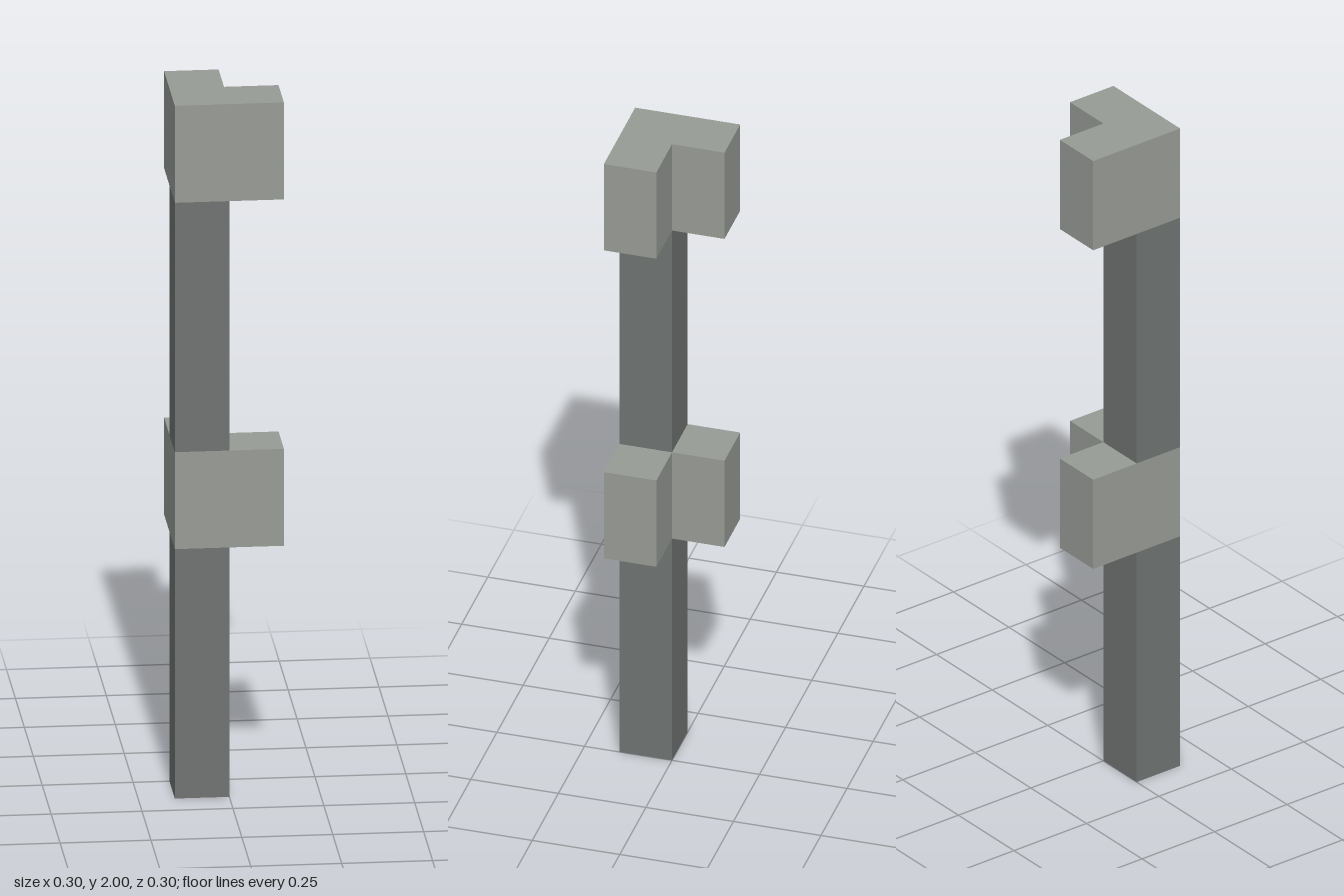
import * as THREE from 'three';

export function createModel() {
  const model = new THREE.Group();
  model.name = 'cornerPost';

  const lightStone = new THREE.MeshStandardMaterial({ color: 0x979b95 });
  lightStone.name = 'lightStone';
  const darkStone = new THREE.MeshStandardMaterial({ color: 0x6f7371 });
  darkStone.name = 'darkStone';

  const half = 0.15;      // half the footprint, also the post thickness
  const blockHeight = 0.28;
  const shaftHeight = 0.72;

  // L-shaped corner block, extruded upwards (shape y becomes -z)
  const outline = new THREE.Shape([
    [-half, -half], [half, -half], [half, 0],
    [0, 0], [0, half], [-half, half],
  ].map(([x, y]) => new THREE.Vector2(x, y)));
  const blockGeometry = new THREE.ExtrudeGeometry(outline, { depth: blockHeight, bevelEnabled: false });
  blockGeometry.rotateX(-Math.PI / 2);

  // Square shaft standing in the outer corner of the block
  const shaftGeometry = new THREE.BoxGeometry(half, shaftHeight, half);
  shaftGeometry.translate(-half / 2, shaftHeight / 2, half / 2);

  // Two stacked sections: shaft below, corner block above
  ['lower', 'upper'].forEach((level, i) => {
    const base = i * (shaftHeight + blockHeight);

    const shaft = new THREE.Mesh(shaftGeometry, darkStone);
    shaft.name = `${level}Shaft`;
    shaft.position.y = base;

    const block = new THREE.Mesh(blockGeometry, lightStone);
    block.name = `${level}CornerBlock`;
    block.position.y = base + shaftHeight;

    model.add(shaft, block);
  });

  return model;
}
